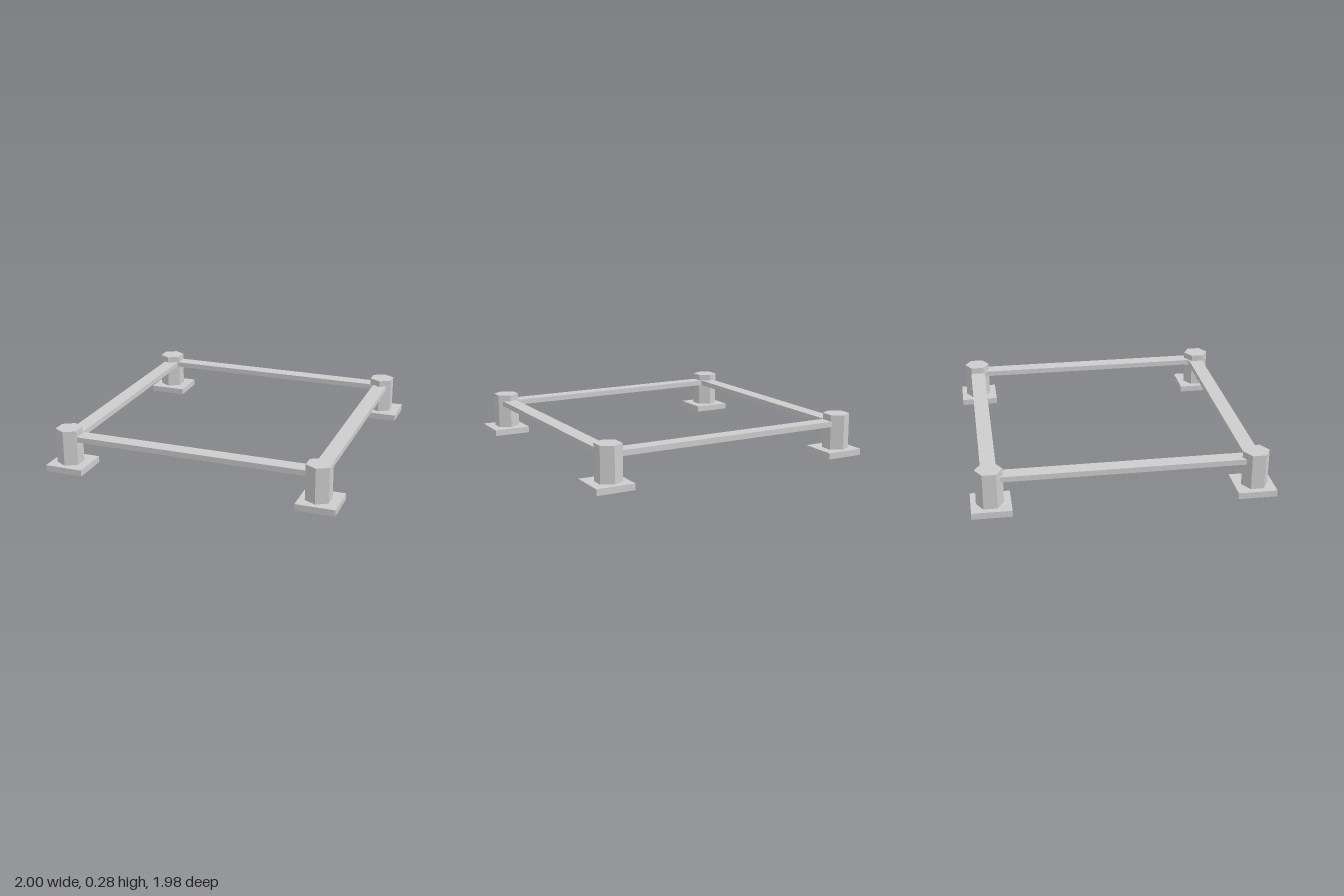
import * as THREE from 'three';

export function createModel() {
  const root = new THREE.Group();
  root.name = 'squareRailFrame';
  const grey = new THREE.MeshStandardMaterial({ color: 0xcccccc });
  grey.name = 'light grey';

  const add = (name, geometry, x, y, z) => {
    const mesh = new THREE.Mesh(geometry, grey);
    mesh.name = name;
    mesh.position.set(x, y, z);
    root.add(mesh);
  };

  // Foot plates and hexagonal posts at the four corners
  const foot = new THREE.BoxGeometry(0.262, 0.043, 0.26);
  const post = new THREE.CylinderGeometry(0.0895, 0.0895, 0.242, 6).toNonIndexed();
  post.computeVertexNormals();
  for (const side of [-1, 1]) {
    for (const end of [-1, 1]) {
      const label = (end > 0 ? 'front' : 'back') + (side > 0 ? 'Left' : 'Right');
      add(label + 'Foot', foot, side * 0.869, 0.0215, end * 0.862);
      add(label + 'Post', post, side > 0 ? 0.859 : -0.879, 0.163, end * 0.868);
    }
  }

  // Flat rails joining the posts
  const crossRail = new THREE.BoxGeometry(1.62, 0.037, 0.102);
  const sideRail = new THREE.BoxGeometry(0.102, 0.037, 1.62);
  add('frontRail', crossRail, 0, 0.221, 0.856);
  add('backRail', crossRail, 0, 0.221, -0.866);
  add('leftRail', sideRail, 0.857, 0.2215, 0);
  add('rightRail', sideRail, -0.862, 0.2215, 0);

  return root;
}
